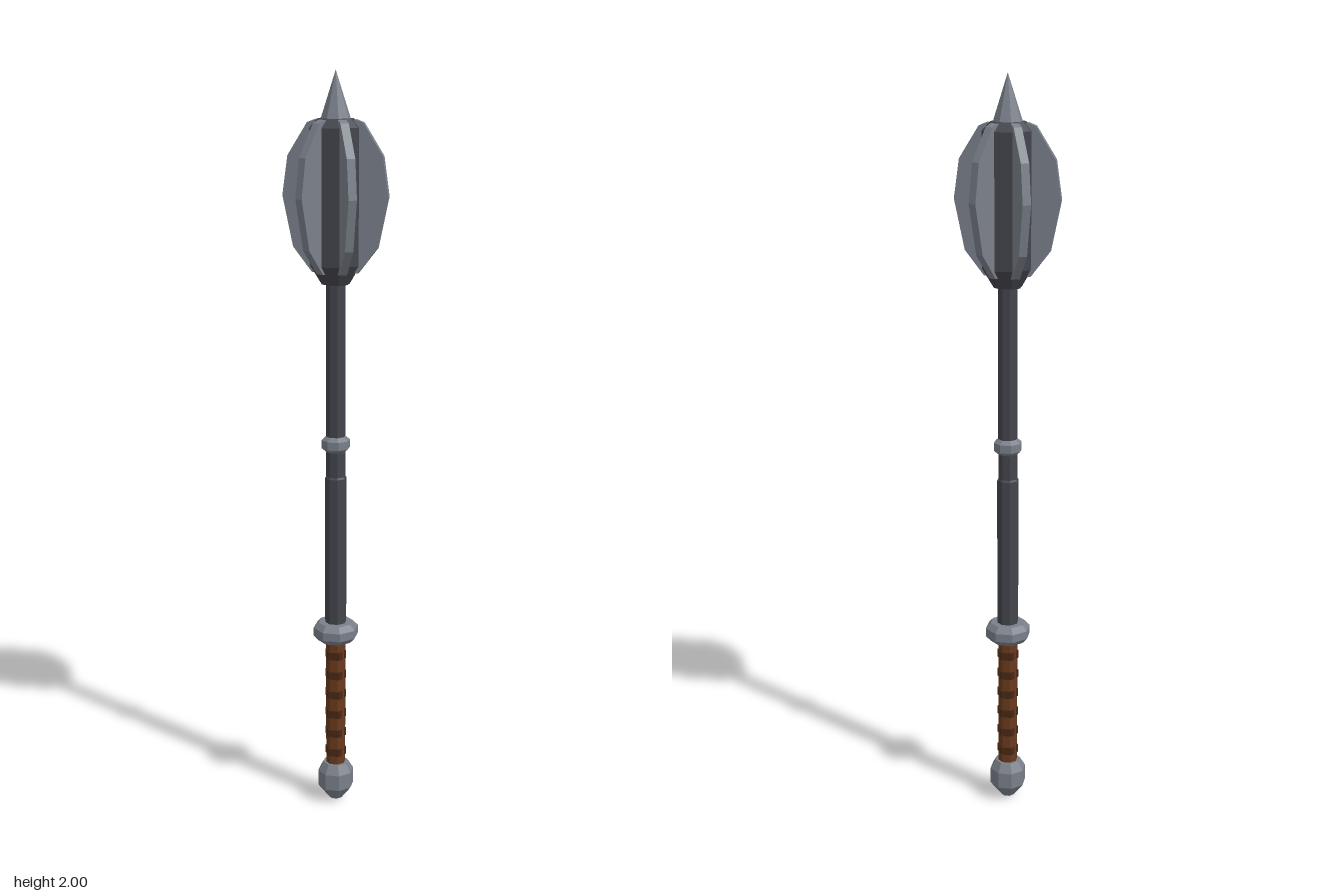
import * as THREE from 'three';

const material = (name, color) => {
  const m = new THREE.MeshStandardMaterial({ color, flatShading: true });
  m.name = name;
  return m;
};

export function createModel() {
  const steel = material('steel', 0x7a808a);
  const darkIron = material('dark iron', 0x44454d);
  const leather = material('leather', 0x6a3a1e);
  const darkLeather = material('dark leather', 0x4a2814);
  const mace = new THREE.Group();
  mace.name = 'mace';

  // Faceted turned part; radii are measured to the flats, which face the axes
  const turned = (name, mat, profile) => {
    const k = 1 / Math.cos(Math.PI / 8);
    const pts = profile.map(([r, y]) => new THREE.Vector2(r * k, y));
    const mesh = new THREE.Mesh(new THREE.LatheGeometry(pts, 8, Math.PI / 8), mat);
    mesh.name = name;
    mace.add(mesh);
  };

  turned('pommel', steel, [[0, 0], [0.018, 0.006], [0.046, 0.045], [0.046, 0.09], [0.032, 0.115], [0, 0.115]]);
  turned('grip', leather, [[0.025, 0.1], [0.025, 0.49]]);
  turned('guard', steel, [[0, 0.482], [0.044, 0.482], [0.057, 0.497], [0.057, 0.52], [0.044, 0.535], [0, 0.535]]);
  turned('lowerShaft', darkIron, [[0.027, 0.52], [0.027, 0.945], [0.024, 0.95]]);
  turned('upperShaft', darkIron, [[0.024, 0.94], [0.024, 1.48]]);
  turned('collar', steel, [[0.024, 1.018], [0.035, 1.028], [0.035, 1.05], [0.024, 1.06]]);
  turned('headCore', darkIron, [[0, 1.465], [0.034, 1.465], [0.062, 1.515], [0.062, 1.86], [0.043, 1.882], [0, 1.882]]);
  turned('spike', steel, [[0.036, 1.88], [0, 2]]);

  // Leather wraps, their corners just showing at the sides of the grip
  for (let i = 0; i < 6; i++) {
    const wrap = new THREE.Mesh(new THREE.CylinderGeometry(0.0295, 0.0295, 0.022, 6), darkLeather);
    wrap.name = 'gripWrap';
    wrap.rotation.y = Math.PI / 2;
    wrap.position.y = 0.15 + i * 0.058;
    mace.add(wrap);
  }

  // Six flanges around the head
  const outline = [[0.03, 1.495], [0.06, 1.495], [0.11, 1.56], [0.137, 1.69], [0.123, 1.79], [0.072, 1.872], [0.052, 1.88], [0.03, 1.87]];
  const thickness = 0.022;
  const flangeGeometry = new THREE.ExtrudeGeometry(
    new THREE.Shape(outline.map(([x, y]) => new THREE.Vector2(x, y))),
    { depth: thickness, bevelEnabled: false }
  ).translate(0, 0, -thickness / 2);
  for (let i = 0; i < 6; i++) {
    const flange = new THREE.Mesh(flangeGeometry, steel);
    flange.name = 'flange';
    flange.rotation.y = (i * Math.PI) / 3;
    mace.add(flange);
  }

  return mace;
}
